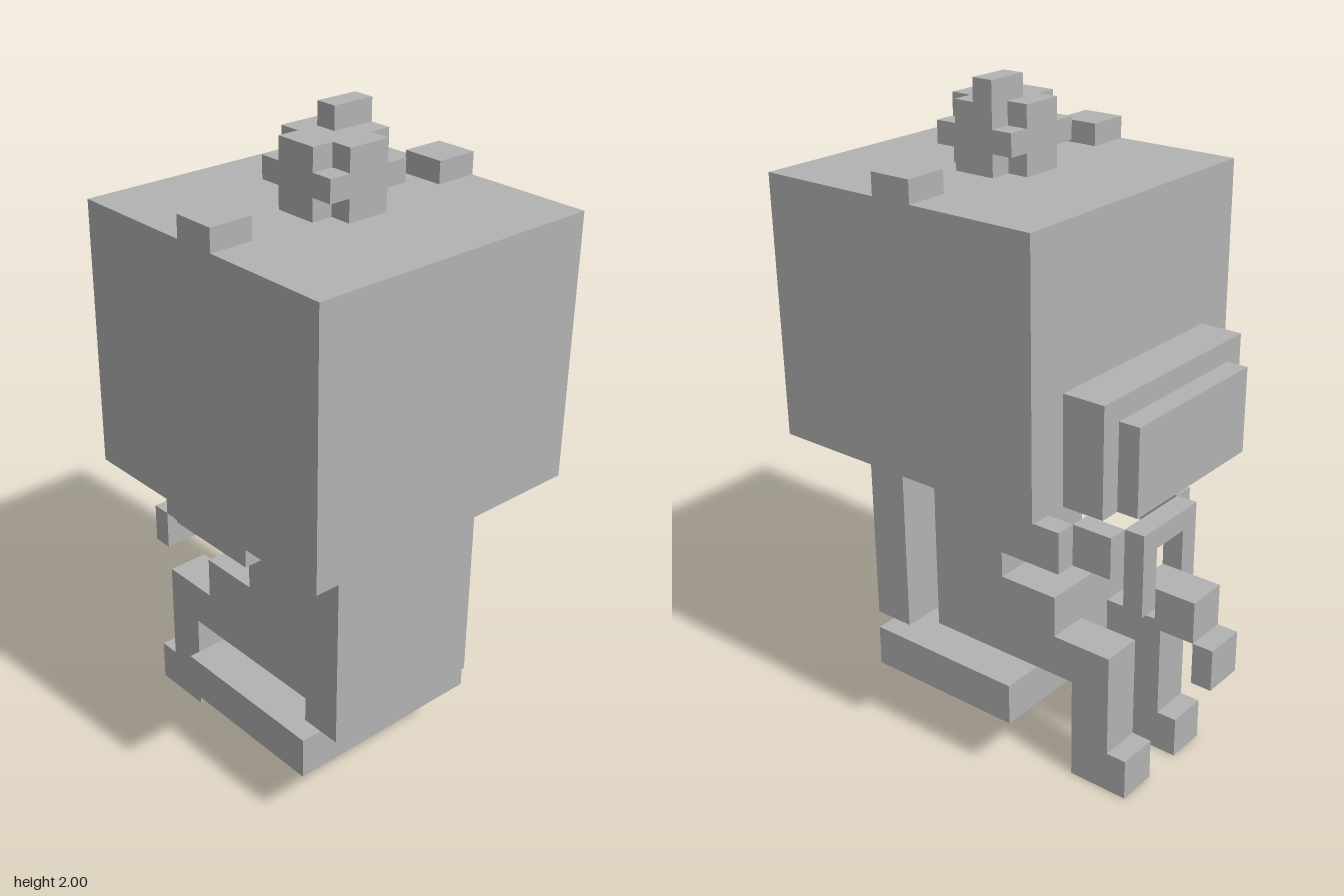
import * as THREE from 'three';

// Everything sits on a block grid, 31 blocks tall
const U = 2 / 31;

export function createModel() {
  const model = new THREE.Group();
  model.name = 'blockFigure';
  const grey = new THREE.MeshStandardMaterial({ color: 0xb2b2b2 });
  grey.name = 'grey';

  // Box given by its limits in block units
  const block = (name, x0, x1, y0, y1, z0, z1) => {
    const geometry = new THREE.BoxGeometry((x1 - x0) * U, (y1 - y0) * U, (z1 - z0) * U);
    const mesh = new THREE.Mesh(geometry, grey);
    mesh.position.set((x0 + x1) / 2 * U, (y0 + y1) / 2 * U, (z0 + z1) / 2 * U);
    mesh.name = name;
    model.add(mesh);
  };
  // The same box on both sides of the model
  const pair = (name, x0, x1, ...rest) => {
    block(name + 'Left', x0, x1, ...rest);
    block(name + 'Right', -x1, -x0, ...rest);
  };

  // Head with stepped block behind
  block('head', -7, 7, 15, 27, -4.5, 9.5);
  block('headStepLarge', -5, 5, 15, 20, -6.5, -4.5);
  block('headStepSmall', -4, 4, 15, 19, -7.5, -6.5);
  pair('ear', 5, 7, 27, 28, 1.5, 3.5);

  // Topknot: a block without its eight corners, and a stem
  block('topknotAcross', -2, 2, 27, 30, 1.5, 3.5);
  block('topknotAlong', -1, 1, 27, 30, 0.5, 4.5);
  block('topknotMiddle', -2, 2, 28, 29, 0.5, 4.5);
  block('topknotStem', 0, 2, 30, 31, 1.5, 2.5);

  // Neck, body and base
  block('neck', -1, 1, 14, 15, 1.5, 3.5);
  block('body', -3, 3, 5, 14, 0.5, 4.5);
  block('lap', -3, 3, 5, 9, -2.5, 0.5);
  block('frontPanel', -4, 4, 5, 14, 5.5, 7.5);
  block('base', -5, 5, 3, 5, -1.5, 6.5);

  // Legs
  pair('thigh', 1, 3, 5, 7, -3.5, -2.5);
  pair('shin', 1, 3, 0, 7, -5.5, -3.5);
  pair('foot', 1, 3, 0, 2, -6.5, -5.5);

  // Arms
  pair('shoulder', 3, 4, 12, 14, 1.5, 3.5);
  pair('forearm', 3, 4, 11, 13, -3.5, 1.5);
  pair('hand', 2, 3, 11, 13, -5.5, -3.5);

  // Held loop with a drooping end
  pair('loopSide', 1, 2, 9, 13, -6.5, -5.5);
  block('loopTop', -1, 1, 12, 13, -6.5, -5.5);
  block('loopBottom', -1, 1, 9, 10, -6.5, -5.5);
  block('droopUpper', -1, 1, 8, 10, -8.5, -6.5);
  block('droopTip', -1, 1, 6, 8, -9.5, -8.5);

  return model;
}
